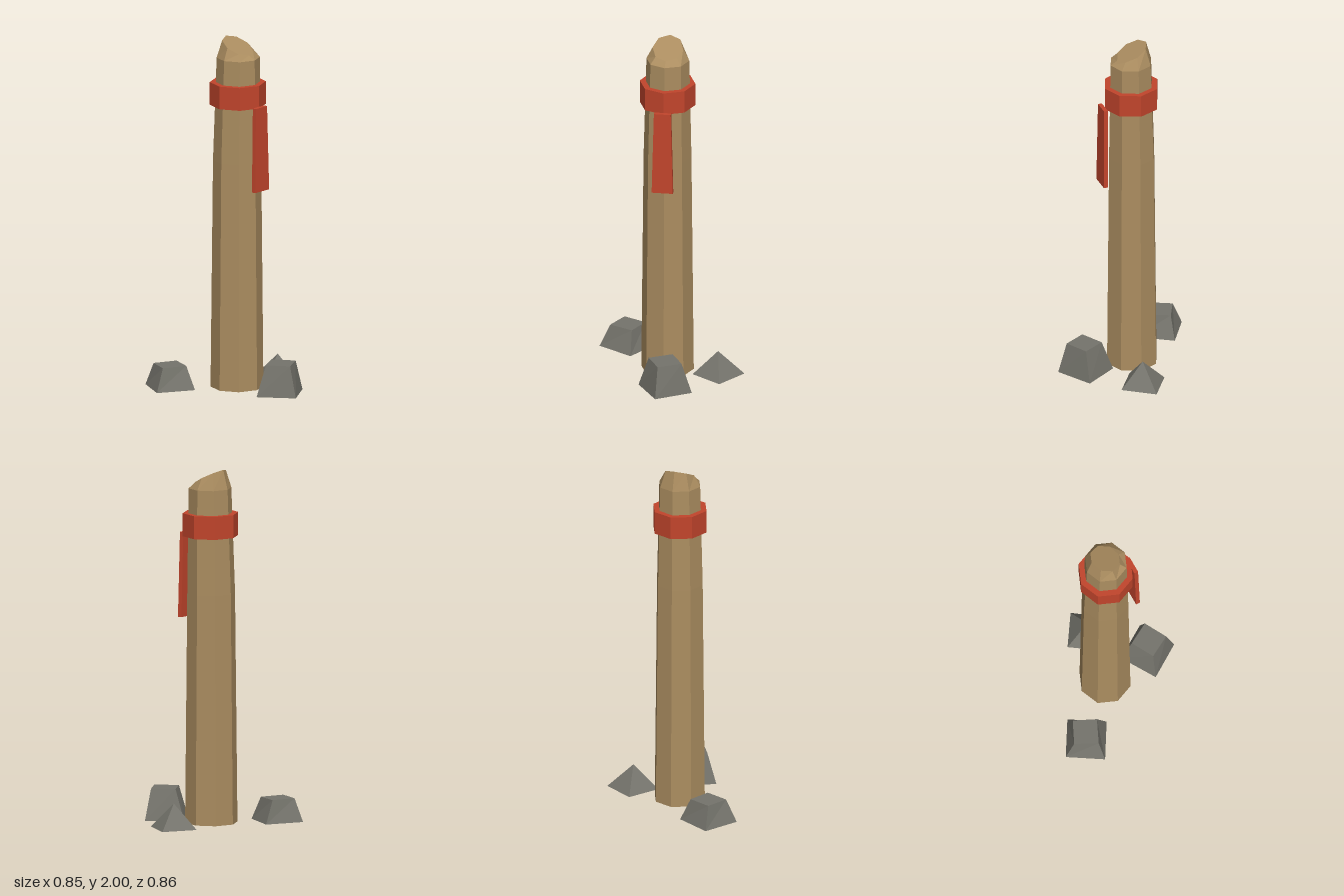
import * as THREE from 'three';

const flat = (name, color) => {
  const m = new THREE.MeshStandardMaterial({ color, flatShading: true });
  m.name = name;
  return m;
};

// Closed solid skinned through rings of [x, y, z] points (clockwise seen from above)
function loft(rings) {
  const pos = [];
  const n = rings[0].length;
  const tri = (...pts) => pts.forEach((p) => pos.push(...p));
  const middle = (ring) => [0, 1, 2].map((k) => ring.reduce((s, p) => s + p[k], 0) / n);
  const last = rings[rings.length - 1];
  const low = middle(rings[0]), high = middle(last);
  for (let i = 0; i < n; i++) {
    const j = (i + 1) % n;
    for (let r = 0; r + 1 < rings.length; r++) {
      const a = rings[r], b = rings[r + 1];
      tri(a[i], b[i], a[j]);
      tri(a[j], b[i], b[j]);
    }
    tri(low, rings[0][i], rings[0][j]);
    tri(high, last[j], last[i]);
  }
  const g = new THREE.BufferGeometry();
  g.setAttribute('position', new THREE.Float32BufferAttribute(pos, 3));
  g.computeVertexNormals();
  return g;
}

// Eight-sided ring; height may depend on x
const octagon = (cx, cz, radius, height) => Array.from({ length: 8 }, (_, i) => {
  const a = (i * Math.PI) / 4;
  const x = cx + radius * Math.cos(a);
  return [x, height(x), cz + radius * Math.sin(a)];
});

const level = (pts, y) => pts.map(([x, z]) => [x, y, z]);

export function createModel() {
  const group = new THREE.Group();
  const wood = flat('wood', 0xab8d60);
  const cloth = flat('red cloth', 0xc2452c);
  const stone = flat('grey stone', 0x75746c);
  const add = (name, geometry, material) => {
    const mesh = new THREE.Mesh(geometry, material);
    mesh.name = name;
    group.add(mesh);
    return mesh;
  };

  // Tapered post with a chamfered, slanting cut at the top
  add('post', loft([
    octagon(-0.013, 0.007, 0.148, () => 0),
    octagon(-0.012, 0.007, 0.135, () => 1.3),
    octagon(-0.006, 0.004, 0.121, () => 1.89),
    octagon(-0.011, 0.005, 0.086, (x) => 2 - (x + 0.097) * 0.5),
  ]), wood);

  // Cloth band wrapped round the post
  add('band', new THREE.CylinderGeometry(0.157, 0.157, 0.13, 8), cloth)
    .position.set(-0.008, 1.685, 0.006);

  // Hanging strip, wider and slightly further out at the bottom
  add('hangingStrip', loft([
    level([[0.151, -0.05], [0.175, -0.05], [0.175, 0.069], [0.151, 0.069]], 1.15),
    level([[0.147, -0.038], [0.17, -0.038], [0.17, 0.057], [0.147, 0.057]], 1.63),
  ]), cloth);

  // Stones round the foot: base corners, top corners, height
  const stones = [
    ['frontStone', 0.13,
      [[-0.312, 0.115], [-0.127, 0.233], [-0.242, 0.425], [-0.428, 0.307]],
      [[-0.312, 0.177], [-0.19, 0.235], [-0.25, 0.365], [-0.372, 0.303]]],
    ['sideStone', 0.175,
      [[0.31, -0.178], [0.425, 0.012], [0.24, 0.133], [0.125, -0.06]],
      [[0.31, -0.12], [0.377, 0.005], [0.257, 0.073], [0.19, -0.052]]],
    ['backStone', 0.14,
      [[0.008, -0.43], [0.172, -0.312], [0.06, -0.145], [-0.105, -0.26]],
      Array(4).fill([0.035, -0.285])],
  ];
  for (const [name, height, base, top] of stones) {
    add(name, loft([level(base, 0), level(top, height)]), stone);
  }
  return group;
}
